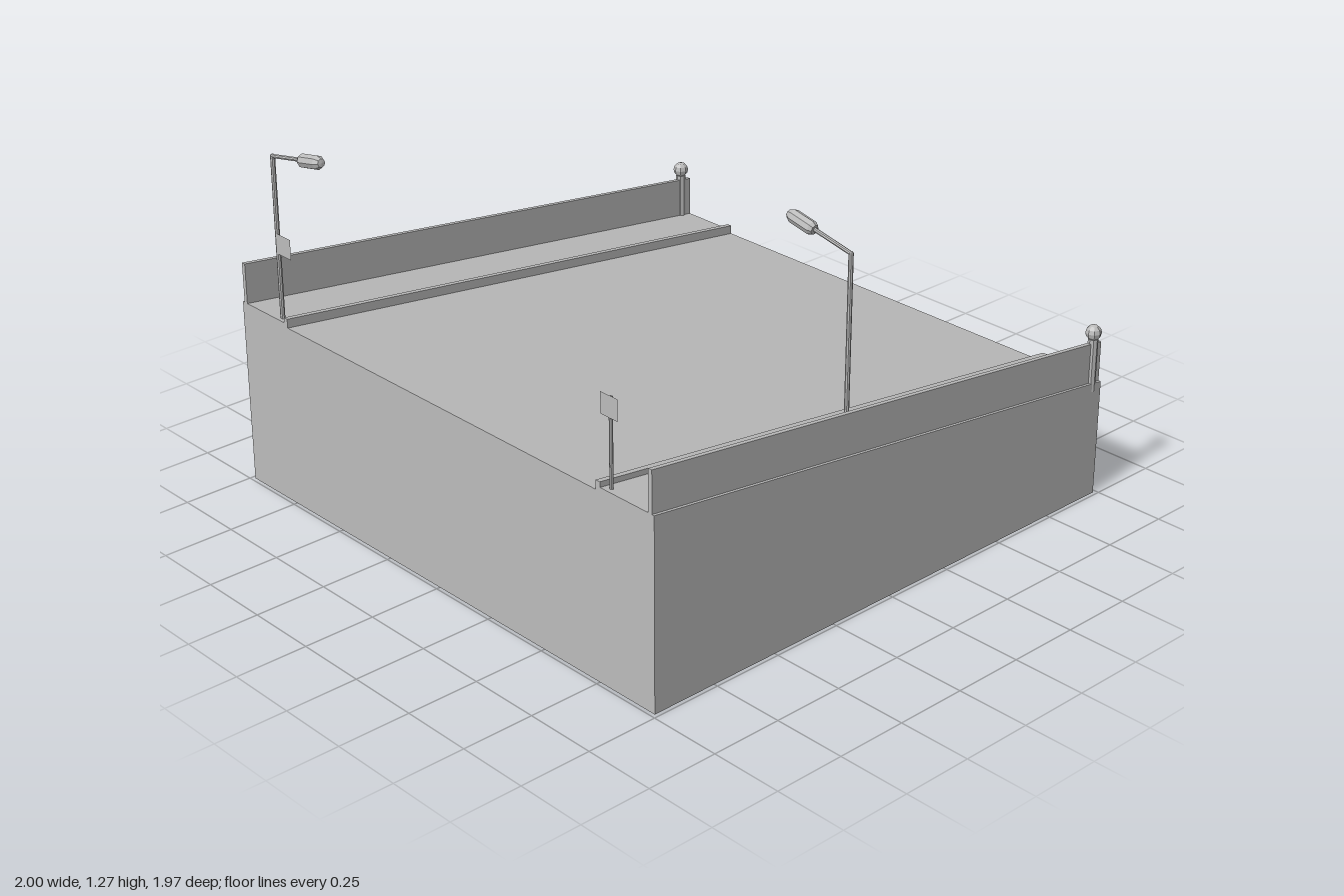
import * as THREE from 'three';

const H = 0.987;          // half width and half length
const SLOPE = 0.122;      // fall of the deck towards the back
const drop = (z) => SLOPE * (z - H);

// Half profile of the deck, from the centre outwards: road, kerb, footway
const HALF = [[0.742, 0.637], [0.742, 0.668], [0.76, 0.668], [0.76, 0.65], [H, 0.65]];
const PROFILE = [...HALF.map(([x, y]) => [-x, y]).reverse(), ...HALF];

export function createModel() {
  const concrete = new THREE.MeshStandardMaterial({ color: 0xbcbcbc });
  concrete.name = 'concrete grey';
  concrete.flatShading = true;
  concrete.side = THREE.DoubleSide;

  const root = new THREE.Group();
  root.name = 'bridgeRamp';
  const add = (name, geometry, parent = root) => {
    const mesh = new THREE.Mesh(geometry, concrete);
    mesh.name = name;
    parent.add(mesh);
    return mesh;
  };

  // Strip of quads between two equally long rows of points
  const ribbon = (a, b) => {
    const p = [];
    for (let i = 0; i < a.length - 1; i++) {
      p.push(...a[i], ...a[i + 1], ...b[i + 1], ...a[i], ...b[i + 1], ...b[i]);
    }
    const g = new THREE.BufferGeometry();
    g.setAttribute('position', new THREE.Float32BufferAttribute(p, 3));
    g.computeVertexNormals();
    return g;
  };

  // Rod between two points
  const rod = (name, from, to, r, sides, parent, rEnd = r) => {
    const a = new THREE.Vector3(...from), b = new THREE.Vector3(...to);
    const d = b.clone().sub(a);
    const mesh = add(name, new THREE.CylinderGeometry(rEnd, r, d.length(), sides), parent);
    mesh.position.copy(a).add(b).multiplyScalar(0.5);
    mesh.quaternion.setFromUnitVectors(new THREE.Vector3(0, 1, 0), d.normalize());
    return mesh;
  };

  // Sloping deck with kerbs, open underneath
  add('deck', ribbon(
    PROFILE.map(([x, y]) => [x, y, H]),
    PROFILE.map(([x, y]) => [x, y + drop(-H), -H])));

  // Front wall and the two tapering side walls
  const front = PROFILE.map(([x, y]) => [x, y, H]);
  add('frontWall', ribbon(front.map(([x, , z]) => [x, 0, z]), front));
  for (const s of [-1, 1]) {
    const ends = [-H, H].map((z) => z * -s);
    add(s > 0 ? 'leftWall' : 'rightWall', ribbon(
      ends.map((z) => [s * H, 0, z]),
      ends.map((z) => [s * H, 0.65 + drop(z), z])));
  }

  // Parapets and the ball-topped end posts
  for (const s of [-1, 1]) {
    const side = s > 0 ? 'left' : 'right';
    const g = new THREE.BoxGeometry(0.015, 0.14, 2 * H);
    g.translate(s * 0.97, 0.72, 0);
    const p = g.attributes.position;
    for (let i = 0; i < p.count; i++) p.setY(i, p.getY(i) + drop(p.getZ(i)));
    g.computeVertexNormals();
    add(side + 'Parapet', g);

    const post = new THREE.Group();
    post.name = side + 'EndPost';
    post.position.set(s * 0.973, 0, -0.95);
    root.add(post);
    rod('postShaft', [0, 0.385, 0], [0, 0.57, 0], 0.017, 8, post);
    add('postBall', new THREE.SphereGeometry(0.027, 8, 6), post).position.y = 0.592;
  }

  // Street lamps leaning over the road
  const lamp = (name, s, z, foot, top) => {
    const g = new THREE.Group();
    g.name = name;
    g.position.set(s * 0.797, 0, z);
    root.add(g);
    const at = (x, y) => [-s * x, y, 0];
    rod('lampPole', at(0, foot), at(0, top), 0.008, 8, g);
    add('lampElbow', new THREE.SphereGeometry(0.008, 8, 6), g).position.set(...at(0, top));
    rod('lampArm', at(0, top), at(0.16, top + 0.032), 0.007, 8, g);
    // Lamp head turned on a short profile
    const profile = [[0, 0], [0.016, 0], [0.023, 0.012], [0.023, 0.092], [0.014, 0.11], [0, 0.112]];
    const head = add('lampHead', new THREE.LatheGeometry(
      profile.map(([r, y]) => new THREE.Vector2(r, y)), 8), g);
    head.position.set(...at(0.152, top + 0.029));
    head.quaternion.setFromUnitVectors(
      new THREE.Vector3(0, 1, 0), new THREE.Vector3(-s, 0.2, 0).normalize());
  };
  lamp('rightLamp', -1, 0.965, 0.64, 1.205);
  lamp('leftLamp', 1, 0.015, 0.525, 1.097);

  // Sign plates: one on the front lamp pole, one on its own post
  for (const [name, x] of [['rightSign', -0.757], ['leftSign', 0.785]]) {
    add(name, new THREE.PlaneGeometry(0.072, 0.07)).position.set(x, 0.91, 0.972);
  }
  rod('signPost', [0.785, 0.64, 0.965], [0.785, 0.94, 0.965], 0.006, 8, root);

  return root;
}
